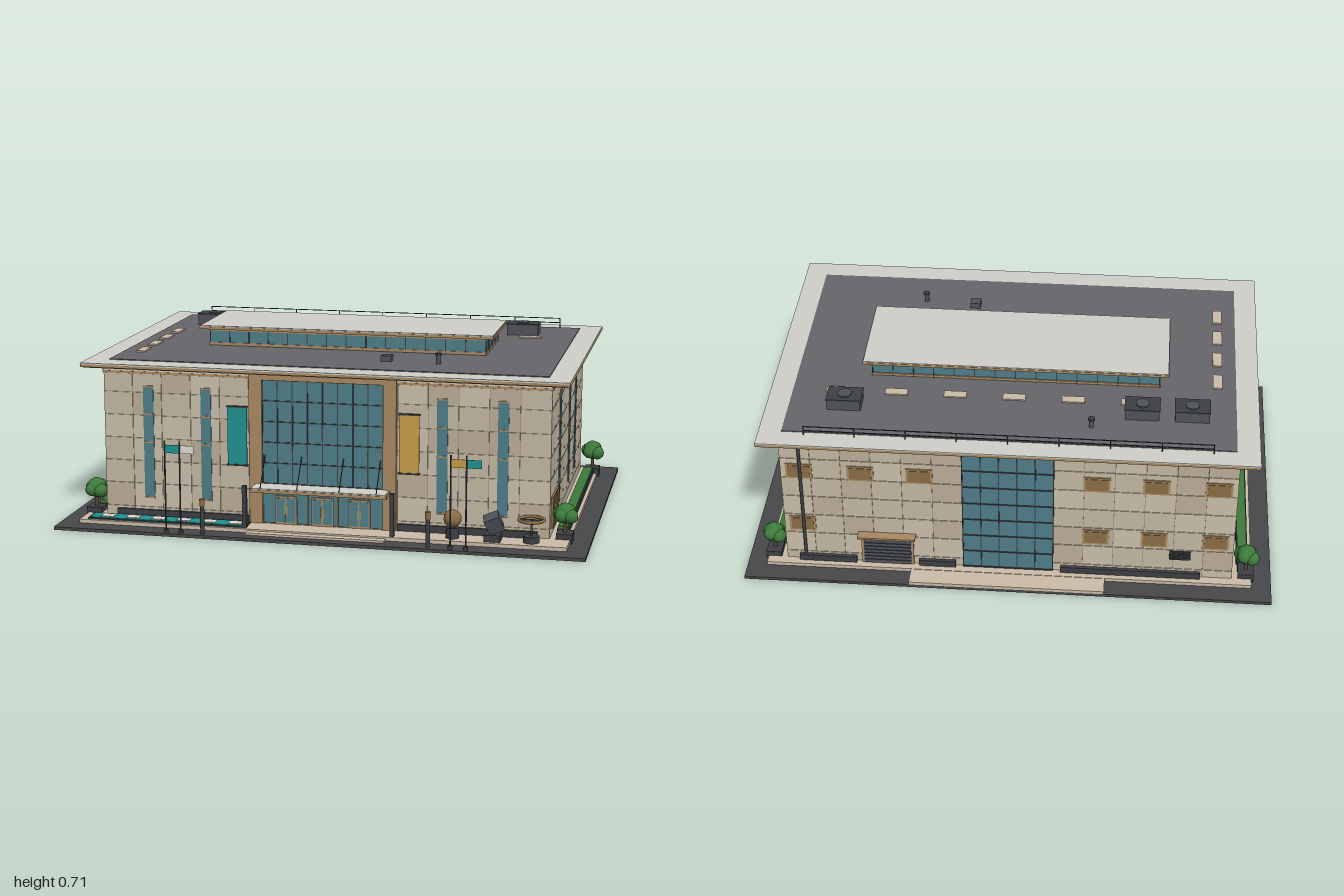
import * as THREE from 'three';

const mat = (color) => new THREE.MeshStandardMaterial({ color });
const M = {
  wall: mat(0xc4b8a3), wallB: mat(0xcabfab), wallC: mat(0xbbae98), joint: mat(0x8f8470),
  trim: mat(0xa98a62), pale: mat(0xd0cfc9), deck: mat(0x66666a), ground: mat(0x48484a),
  paving: mat(0xcbbca8), glass: mat(0x4f7d8a), dark: mat(0x3c3f44), unit: mat(0x50535a),
  teal: mat(0x1f9390), gold: mat(0xc69c48), white: mat(0xdedcd4), leaf: mat(0x3d7a3b),
  trunk: mat(0x5d4630), bronze: mat(0x8a6c44), soffit: mat(0x77695a),
};

export function createModel() {
  const model = new THREE.Group();
  let seed = 7;
  const rand = () => (seed = (seed * 16807) % 2147483647) / 2147483647;

  const add = (name, geo, m, x, y, z, parent = model) => {
    const mesh = new THREE.Mesh(geo, m);
    mesh.name = name;
    mesh.position.set(x, y, z);
    parent.add(mesh);
    return mesh;
  };
  // Box given by its limits
  const box = (name, m, x0, x1, y0, y1, z0, z1, parent) =>
    add(name, new THREE.BoxGeometry(x1 - x0, y1 - y0, z1 - z0), m,
      (x0 + x1) / 2, (y0 + y1) / 2, (z0 + z1) / 2, parent);
  const post = (name, m, x, z, y0, y1, r, parent, r2 = r) =>
    add(name, new THREE.CylinderGeometry(r2, r, y1 - y0, 16), m, x, (y0 + y1) / 2, z, parent);
  const rod = (name, m, a, b, r) => {
    const p = new THREE.Vector3(...a), q = new THREE.Vector3(...b);
    return add(name, new THREE.TubeGeometry(new THREE.LineCurve3(p, q), 1, r, 6), m, 0, 0, 0);
  };

  // Site
  box('groundSlab', M.ground, -1, 1, 0, 0.012, -0.7, 0.7);
  box('plaza', M.paving, -0.925, 0.925, 0.012, 0.026, -0.625, 0.625);
  box('frontStep', M.paving, -0.265, 0.26, 0.012, 0.02, 0.62, 0.657);
  box('backStep', M.paving, -0.37, 0.37, 0.012, 0.024, -0.7, -0.62);

  // Building body
  box('wallCore', M.joint, -0.846, 0.846, 0.02, 0.605, -0.586, 0.516);

  // Each facade is a flat group: u across, y up, outward = +z
  const facade = (name, x, z, turn, width) => {
    const g = new THREE.Group();
    g.name = name;
    g.position.set(x, 0, z);
    g.rotation.y = turn;
    model.add(g);
    const cols = Math.round(width / 0.112), w = width / cols;
    const rows = [0.026, 0.062, 0.154, 0.242, 0.33, 0.418, 0.506, 0.578];
    for (let i = 0; i < cols; i++) for (let j = 0; j < rows.length - 1; j++) {
      const u = -width / 2 + i * w, r = rand();
      const m = r < 0.55 ? M.wall : r < 0.8 ? M.wallB : M.wallC;
      box('wallPanel', m, u + 0.001, u + w - 0.001, rows[j] + 0.001, rows[j + 1] - 0.001, -0.008, 0, g);
    }
    box('topBand', M.wallB, -width / 2, width / 2, 0.586, 0.606, -0.008, 0.002, g);
    box('bandTrim', M.trim, -width / 2, width / 2, 0.578, 0.586, -0.008, 0.004, g);
    return g;
  };
  const front = facade('frontFacade', 0, 0.52, 0, 1.7);
  const back = facade('backFacade', 0, -0.59, Math.PI, 1.7);
  const leftSide = facade('leftFacade', 0.85, -0.035, Math.PI / 2, 1.11);
  const rightSide = facade('rightFacade', -0.85, -0.035, -Math.PI / 2, 1.11);

  // Glazing with evenly spaced bars
  const glazing = (g, u0, u1, y0, y1, nu, ny, m = M.bronze, z = 0.004, t = 0.002) => {
    box('glass', M.glass, u0, u1, y0, y1, -0.004, z, g);
    for (let i = 0; i <= nu; i++) {
      const u = u0 + (u1 - u0) * i / nu;
      box('mullion', m, u - t, u + t, y0, y1, 0, z + 0.004, g);
    }
    for (let j = 0; j <= ny; j++) {
      const y = y0 + (y1 - y0) * j / ny;
      box('transom', m, u0, u1, y - t, y + t, 0, z + 0.004, g);
    }
  };
  const slot = (g, u) => {
    box('slotGlass', M.glass, u - 0.02, u + 0.02, 0.1, 0.53, -0.004, 0.003, g);
    for (const y of [0.1, 0.315, 0.423, 0.53]) box('slotBar', M.trim, u - 0.02, u + 0.02, y - 0.003, y + 0.003, 0, 0.005, g);
  };
  for (const u of [-0.675, -0.45, 0.45, 0.675]) slot(front, u);
  for (const [g, s] of [[leftSide, 1], [rightSide, -1]]) {
    for (const z of [0.24, -0.09, -0.31]) slot(g, -s * (z + 0.035));
    const a = -s * 0.51, b = -s * 0.33;
    glazing(g, Math.min(a, b), Math.max(a, b), 0.055, 0.17, 4, 1);
  }

  // Entrance portal, curtain wall, doors
  for (const s of [-1, 1]) box('portalPier', M.trim, s * 0.255 - 0.025, s * 0.255 + 0.025, 0.026, 0.6, -0.004, 0.014, front);
  box('portalHead', M.trim, -0.23, 0.23, 0.575, 0.6, -0.004, 0.014, front);
  glazing(front, -0.23, 0.23, 0.18, 0.575, 8, 5, M.dark);
  glazing(front, -0.23, 0.23, 0.026, 0.165, 8, 1, M.bronze);
  for (const u of [-0.14, 0, 0.14]) {
    box('doorFrame', M.trim, u - 0.042, u + 0.042, 0.026, 0.135, 0, 0.011, front);
    for (const s of [-1, 1]) {
      box('doorGlass', M.glass, u + s * 0.02 - 0.017, u + s * 0.02 + 0.017, 0.034, 0.128, 0, 0.013, front);
      box('doorHandle', M.gold, u + s * 0.006 - 0.001, u + s * 0.006 + 0.001, 0.06, 0.1, 0.012, 0.017, front);
    }
  }
  box('canopy', M.trim, -0.26, 0.26, 0.164, 0.176, 0.52, 0.613);
  box('canopyTop', M.pale, -0.255, 0.255, 0.176, 0.18, 0.52, 0.61);
  for (const s of [-1, 1]) {
    box('canopyColumn', M.dark, s * 0.28 - 0.008, s * 0.28 + 0.008, 0.026, 0.187, 0.596, 0.614);
    for (const x of [0.08, 0.22]) rod('canopyTie', M.dark, [s * x, 0.18, 0.605], [s * x, 0.29, 0.522], 0.0018);
    box('banner', s < 0 ? M.teal : M.gold, s * 0.3275 - 0.0375, s * 0.3275 + 0.0375, 0.245, 0.465, 0.523, 0.527);
    for (const y of [0.245, 0.468]) box('bannerBar', M.dark, s * 0.3275 - 0.04, s * 0.3275 + 0.04, y - 0.003, y + 0.003, 0.52, 0.53);
    box('wallPlanter', M.dark, s * 0.545 - 0.26, s * 0.545 + 0.26, 0.026, 0.052, 0.515, 0.53);
  }

  // Back facade: glazing, small windows, service door, vent, downpipe
  glazing(back, -0.17, 0.17, 0.03, 0.565, 5, 7, M.dark);
  for (const u of [-0.78, -0.55, -0.33, 0.33, 0.55, 0.78]) for (const y of [0.2, 0.45]) {
    if (y === 0.2 && u < -0.3 && u > -0.6) continue;
    box('windowFrame', M.trim, u - 0.05, u + 0.05, y - 0.033, y + 0.033, -0.004, 0.004, back);
    box('windowPane', M.bronze, u - 0.042, u + 0.042, y - 0.026, y + 0.026, 0, 0.006, back);
  }
  box('serviceFrame', M.trim, -0.56, -0.36, 0.026, 0.15, -0.004, 0.006, back);
  box('serviceDoor', M.unit, -0.55, -0.37, 0.026, 0.14, 0, 0.009, back);
  for (let i = 1; i < 7; i++) box('doorRib', M.dark, -0.55, -0.37, 0.026 + i * 0.016, 0.029 + i * 0.016, 0, 0.012, back);
  box('serviceCanopy', M.trim, -0.57, -0.35, 0.162, 0.17, 0, 0.038, back);
  for (let i = 0; i < 4; i++) box('ventSlat', M.dark, 0.61, 0.69, 0.11 + i * 0.011, 0.117 + i * 0.011, 0, 0.006, back);
  post('downpipe', M.dark, -0.775, 0.008, 0.026, 0.6, 0.006, back);
  for (const [a, b] of [[0.2, 0.73], [-0.34, -0.2], [-0.8, -0.58]]) box('backPlinth', M.dark, a, b, 0.026, 0.052, -0.004, 0.014, back);

  // Roof
  box('soffit', M.soffit, -0.91, 0.91, 0.603, 0.608, -0.652, 0.576);
  box('roofEdge', M.trim, -0.92, 0.92, 0.607, 0.617, -0.662, 0.585);
  box('roofBorder', M.pale, -0.92, 0.92, 0.617, 0.622, -0.662, 0.585);
  box('roofDeck', M.deck, -0.835, 0.835, 0.62, 0.625, -0.58, 0.495);

  // Roof lantern
  box('lanternGlass', M.glass, -0.545, 0.545, 0.625, 0.692, -0.2, 0.125);
  for (const y of [0.632, 0.688]) box('lanternRail', M.trim, -0.549, 0.549, y - 0.005, y + 0.005, -0.204, 0.129);
  for (let i = 0; i <= 14; i++) for (const z of [-0.202, 0.127])
    box('lanternBar', M.dark, -0.5465 + i * 0.078, -0.5425 + i * 0.078, 0.625, 0.692, z - 0.002, z + 0.002);
  for (let i = 1; i < 4; i++) for (const s of [-1, 1])
    box('lanternBar', M.dark, s * 0.547 - 0.002, s * 0.547 + 0.002, 0.625, 0.692, -0.202 + i * 0.082, -0.198 + i * 0.082);
  box('lanternEaves', M.trim, -0.58, 0.58, 0.692, 0.702, -0.233, 0.155);
  box('lanternRoof', M.pale, -0.578, 0.578, 0.702, 0.706, -0.231, 0.153);

  // Roof lights, equipment, rail
  for (let i = 0; i < 7; i++) box('roofLight', M.paving, -0.713 + i * 0.2225, -0.627 + i * 0.2225, 0.625, 0.63, -0.327, -0.29);
  for (let i = 0; i < 4; i++) box('roofLight', M.paving, -0.783, -0.747, 0.625, 0.63, -0.197 + i * 0.148, -0.109 + i * 0.148);
  for (const [x, z] of [[-0.67, -0.375], [-0.485, -0.375], [0.625, -0.395]]) {
    box('airUnit', M.unit, x - 0.063, x + 0.063, 0.625, 0.668, z - 0.042, z + 0.042);
    box('airUnitLid', M.dark, x - 0.066, x + 0.066, 0.666, 0.671, z - 0.044, z + 0.044);
    post('airUnitFan', M.unit, x, z, 0.668, 0.676, 0.026);
  }
  for (const [x, z] of [[-0.3, -0.47], [0.4, 0.33]]) {
    post('ventPipe', M.unit, x, z, 0.625, 0.66, 0.009);
    post('ventCap', M.dark, x, z, 0.656, 0.665, 0.013);
  }
  box('roofHatch', M.unit, 0.18, 0.22, 0.625, 0.647, 0.29, 0.33);
  for (const y of [0.642, 0.66]) box('roofRail', M.dark, -0.75, 0.75, y - 0.0015, y + 0.0015, -0.597, -0.594);
  for (let i = 0; i <= 8; i++) post('railPost', M.dark, -0.75 + i * 0.1875, -0.595, 0.62, 0.661, 0.002);

  // Trees and hedges
  for (const s of [-1, 1]) {
    for (const z of [0.485, -0.553]) {
      const tree = new THREE.Group();
      tree.name = 'tree';
      tree.position.set(s * 0.903, 0, z);
      model.add(tree);
      box('treePlanter', M.dark, -0.03, 0.03, 0.012, 0.046, -0.035, 0.035, tree);
      post('treeTrunk', M.trunk, 0, 0, 0.04, 0.1, 0.007, tree, 0.005);
      for (const [x, y, dz, r] of [[0, 0.118, 0, 0.038], [0.02, 0.11, 0.015, 0.028], [-0.02, 0.113, -0.015, 0.028], [0.01, 0.122, -0.018, 0.026], [-0.012, 0.112, 0.018, 0.026]])
        add('treeCrown', new THREE.SphereGeometry(r, 16, 12), M.leaf, x, y, dz, tree);
    }
    box('hedgePlanter', M.dark, s * 0.89 - 0.022, s * 0.89 + 0.022, 0.026, 0.042, -0.51, 0.44);
    box('hedge', M.leaf, s * 0.89 - 0.018, s * 0.89 + 0.018, 0.042, 0.055, -0.505, 0.435);
  }

  // Reflecting pool with stepping stones
  box('poolRim', M.dark, -0.895, -0.275, 0.026, 0.031, 0.535, 0.612);
  box('poolWater', M.teal, -0.888, -0.282, 0.03, 0.033, 0.541, 0.606);
  for (let i = 0; i < 6; i++) box('steppingStone', M.white, -0.85 + i * 0.1, -0.8 + i * 0.1, 0.031, 0.036, 0.555, 0.595);

  // Flagpoles and lamp bollards
  for (const [x, m] of [[-0.565, M.teal], [-0.508, M.white], [0.508, M.gold], [0.565, M.teal]]) {
    post('flagpole', M.dark, x, 0.675, 0.012, 0.36, 0.003);
    post('flagpoleBase', M.dark, x, 0.675, 0.012, 0.022, 0.009);
    box('flag', m, x + 0.002, x + 0.055, 0.314, 0.345, 0.674, 0.676);
  }
  for (const x of [-0.425, 0.425]) {
    post('lampPost', M.dark, x, 0.672, 0.012, 0.135, 0.008);
    post('lampHead', M.bronze, x, 0.672, 0.118, 0.145, 0.01);
  }

  // Sculptures
  post('spherePlinth', M.dark, 0.5, 0.575, 0.026, 0.066, 0.025);
  add('sphereSculpture', new THREE.SphereGeometry(0.033, 24, 16), M.bronze, 0.5, 0.098, 0.575);
  box('cubePlinth', M.dark, 0.62, 0.68, 0.026, 0.052, 0.55, 0.61);
  add('cubeSculpture', new THREE.BoxGeometry(0.058, 0.062, 0.05), M.unit, 0.652, 0.09, 0.575).rotation.set(0.3, 0.2, 0.35);
  post('ringPlinth', M.dark, 0.79, 0.575, 0.026, 0.05, 0.03);
  post('ringStem', M.dark, 0.79, 0.575, 0.05, 0.108, 0.004);
  add('ringSculpture', new THREE.TorusGeometry(0.046, 0.006, 10, 32), M.bronze, 0.79, 0.11, 0.575).rotation.x = Math.PI / 2;
  box('ringBar', M.dark, 0.745, 0.835, 0.107, 0.112, 0.573, 0.577);

  return model;
}
